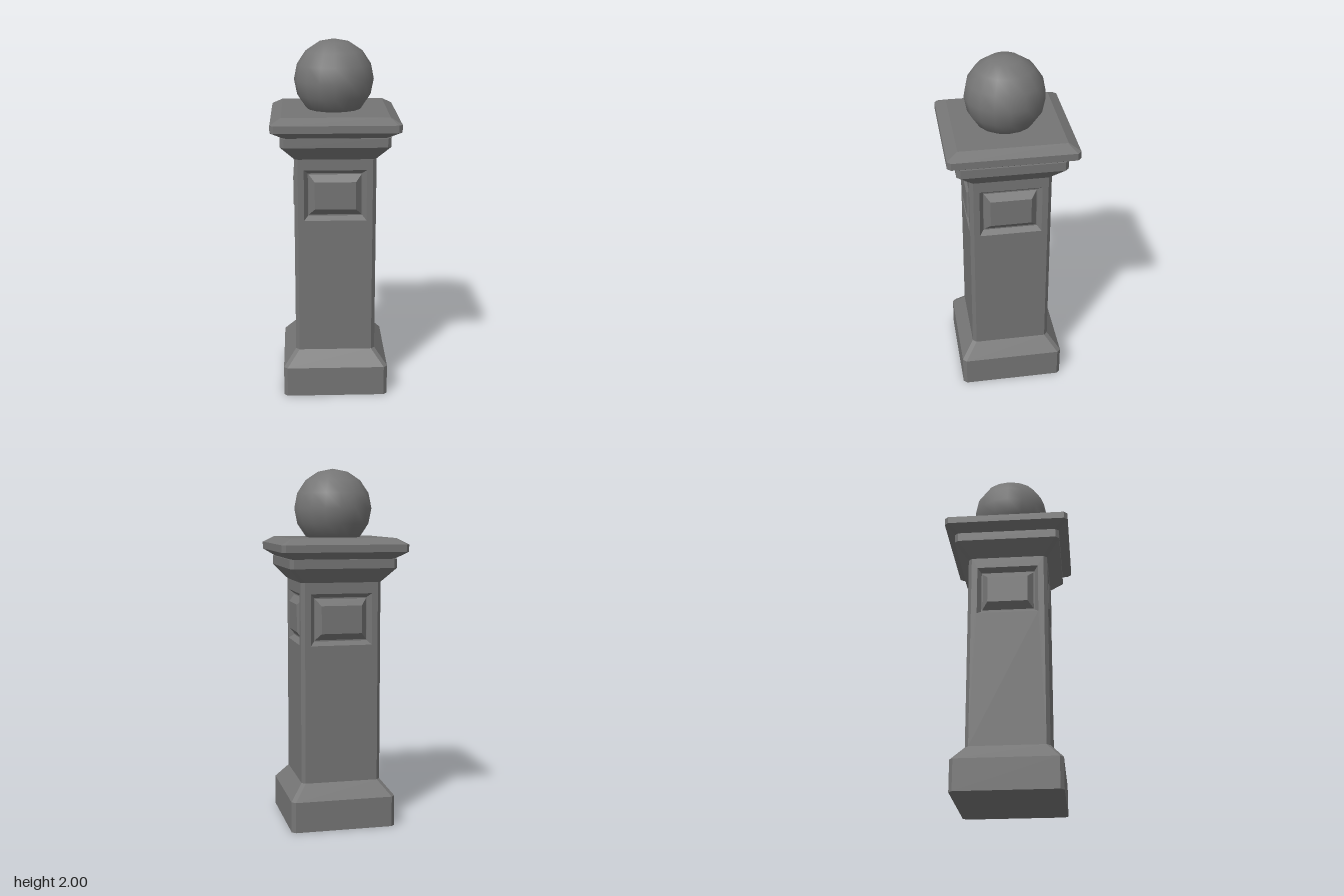
import * as THREE from 'three';

const stone = new THREE.MeshStandardMaterial({ color: 0x757575 });
stone.name = 'grey stone';

// Flat-faced skin over rings of points (anticlockwise seen from the end cap)
function loft(rings, capStart, capEnd) {
  const pos = [];
  const tri = (...pts) => pts.forEach((p) => pos.push(...p));
  const n = rings[0].length;
  for (let i = 0; i < rings.length - 1; i++) {
    for (let j = 0; j < n; j++) {
      const k = (j + 1) % n;
      const a = rings[i][j], b = rings[i][k], c = rings[i + 1][k], d = rings[i + 1][j];
      tri(a, b, c);
      tri(a, c, d);
    }
  }
  const first = rings[0], last = rings[rings.length - 1];
  for (let j = 1; j < n - 1; j++) {
    if (capStart) tri(first[0], first[j + 1], first[j]);
    if (capEnd) tri(last[0], last[j], last[j + 1]);
  }
  const geo = new THREE.BufferGeometry();
  geo.setAttribute('position', new THREE.Float32BufferAttribute(pos, 3));
  geo.computeVertexNormals();
  return geo;
}

// Square with cut corners at height y: half width h, corner cut c
function squareRing([y, h, c]) {
  const k = h - c;
  return [[h, k], [h, -k], [k, -h], [-k, -h], [-h, -k], [-h, k], [-k, h], [k, h]]
    .map(([x, z]) => [x, y, z]);
}

// Upright rectangle facing +z, centred on the panel height
const PANEL_Y = 1.174;
const panelRing = ([w, h, z]) =>
  [[-w, -h], [w, -h], [w, h], [-w, h]].map(([x, y]) => [x, PANEL_Y + y, z]);

function add(parent, name, geometry) {
  const mesh = new THREE.Mesh(geometry, stone);
  mesh.name = name;
  parent.add(mesh);
  return mesh;
}

export function createModel() {
  const pillar = new THREE.Group();
  pillar.name = 'stonePillar';

  // Plinth with sloping shoulder
  add(pillar, 'plinth', loft(
    [[0, 0.295, 0.02], [0.172, 0.295, 0.02], [0.258, 0.225, 0.02]].map(squareRing), true, true));

  // Shaft: four faces with sunken panels, and the cut corners between them
  const half = 0.225, cut = 0.02, bottom = 0.258, top = 1.38;
  const pw = 0.172, ph = 0.143;
  const face = new THREE.Shape([
    [-half + cut, bottom], [half - cut, bottom], [half - cut, top], [-half + cut, top],
  ].map((p) => new THREE.Vector2(...p)));
  face.holes.push(new THREE.Path([
    [-pw, PANEL_Y - ph], [-pw, PANEL_Y + ph], [pw, PANEL_Y + ph], [pw, PANEL_Y - ph],
  ].map((p) => new THREE.Vector2(...p))));
  const faceGeo = new THREE.ShapeGeometry(face);
  const cornerGeo = new THREE.PlaneGeometry(cut * Math.SQRT2, top - bottom);
  // Sunken border rising to a bevelled field
  const panelGeo = loft([
    [pw, ph, half], [0.15, 0.121, 0.197], [0.145, 0.114, 0.197], [0.113, 0.077, 0.23],
  ].map(panelRing), false, true);

  for (let i = 0; i < 4; i++) {
    const side = new THREE.Group();
    side.name = 'shaftSide';
    side.rotation.y = (i * Math.PI) / 2;
    add(side, 'shaftFace', faceGeo).position.z = half;
    add(side, 'shaftPanel', panelGeo);
    const corner = add(side, 'shaftCorner', cornerGeo);
    corner.position.set(half - cut / 2, (top + bottom) / 2, half - cut / 2);
    corner.rotation.y = Math.PI / 4;
    pillar.add(side);
  }

  // Flared capital
  add(pillar, 'capital', loft(
    [[1.378, 0.225, 0.02], [1.458, 0.298, 0.02], [1.508, 0.298, 0.02]].map(squareRing), true, true));

  // Cap slab with bevels above and below
  add(pillar, 'capSlab', loft([
    [1.508, 0.288, 0.02], [1.547, 0.35, 0.02], [1.587, 0.35, 0.02], [1.62, 0.29, 0.004],
  ].map(squareRing), true, true));

  // Ball finial
  add(pillar, 'ballFinial', new THREE.SphereGeometry(0.22, 16, 8)).position.y = 1.78;

  return pillar;
}
